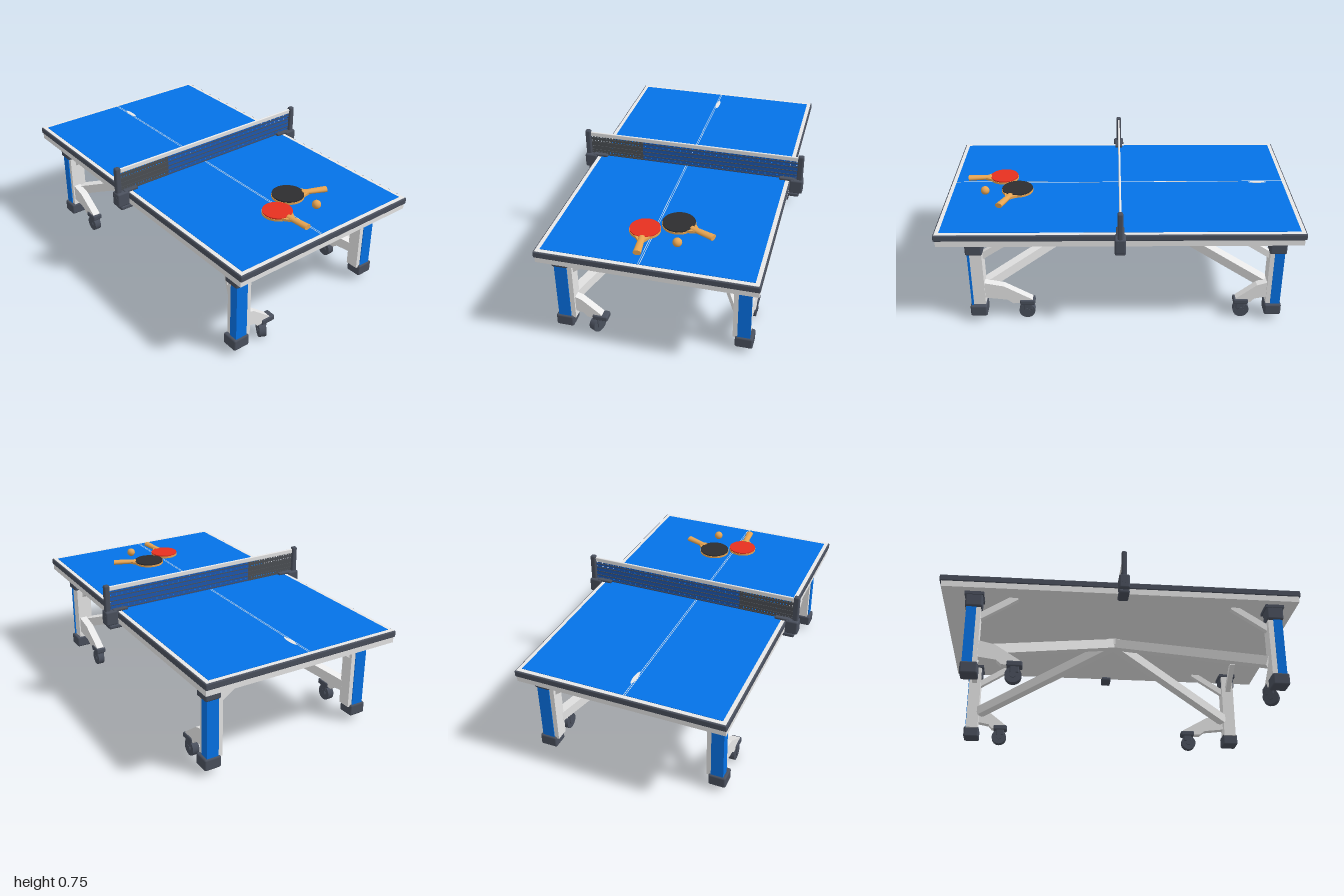
import * as THREE from 'three';
import { RoundedBoxGeometry } from 'three/addons/geometries/RoundedBoxGeometry.js';

const material = (name, color, side = THREE.FrontSide) => {
  const m = new THREE.MeshStandardMaterial({ color, side });
  m.name = name;
  return m;
};

export function createModel() {
  const root = new THREE.Group();
  root.name = 'tableTennisTable';
  const blue = material('playing blue', 0x0476ee);
  const white = material('off white', 0xeeeeee);
  const dark = material('slate grey', 0x4a505d);
  const navy = material('net blue', 0x1c58b2, THREE.DoubleSide);
  const cord = material('net grey', 0x4b4f54, THREE.DoubleSide);
  const red = material('rubber red', 0xe6301f);
  const black = material('rubber black', 0x2d2d2f);
  const wood = material('wood', 0xeeaa55);

  const add = (parent, name, geometry, mat, x = 0, y = 0, z = 0) => {
    const mesh = new THREE.Mesh(geometry, mat);
    mesh.name = name;
    mesh.position.set(x, y, z);
    parent.add(mesh);
    return mesh;
  };
  const box = (parent, name, mat, w, h, d, x, y, z) =>
    add(parent, name, new THREE.BoxGeometry(w, h, d), mat, x, y, z);
  const rounded = (parent, name, mat, w, h, d, x, y, z, r = 0.01) =>
    add(parent, name, new RoundedBoxGeometry(w, h, d, 2, r), mat, x, y, z);
  // Square bar between two points
  const bar = (parent, name, mat, a, b, w, h) => {
    const from = new THREE.Vector3(...a), to = new THREE.Vector3(...b);
    const mesh = box(parent, name, mat, w, h, from.distanceTo(to), 0, 0, 0);
    mesh.position.copy(from).lerp(to, 0.5);
    mesh.lookAt(to);
    return mesh;
  };

  // Table top: dark edge, white apron, painted surface and lines
  const top = new THREE.Group();
  top.name = 'tableTop';
  root.add(top);
  rounded(top, 'edgeBand', dark, 1.175, 0.036, 2, 0, 0.571, 0, 0.006);
  box(top, 'apron', white, 1.165, 0.037, 1.98, 0, 0.5375, 0);
  box(top, 'borderLines', white, 1.16, 0.004, 1.985, 0, 0.589, 0);
  box(top, 'playingSurface', blue, 1.115, 0.004, 1.94, 0, 0.591, 0);
  for (const x of [-0.038, -0.029]) box(top, 'centreLine', white, 0.003, 0.002, 1.94, x, 0.5925, 0);
  const worn = add(top, 'wornPatch', new THREE.CylinderGeometry(0.012, 0.012, 0.002, 16), white, -0.024, 0.593, -0.82);
  worn.scale.z = 4.5;

  // Net: two panels pierced by small holes, white tape, posts and clamps
  const net = new THREE.Group();
  net.name = 'net';
  root.add(net);
  const panel = (name, x0, x1, mat, step) => {
    const shape = new THREE.Shape();
    shape.moveTo(x0, 0.592).lineTo(x1, 0.592).lineTo(x1, 0.722).lineTo(x0, 0.722).closePath();
    for (let x = x0 + 0.012; x < x1 - 0.012; x += step) {
      for (const y of [0.61, 0.648, 0.686, 0.71]) {
        const hole = new THREE.Path();
        hole.moveTo(x, y).lineTo(x, y + 0.005).lineTo(x + 0.006, y + 0.005).lineTo(x + 0.006, y).closePath();
        shape.holes.push(hole);
      }
    }
    add(net, name, new THREE.ShapeGeometry(shape), mat);
  };
  panel('greyNetPanel', -0.63, -0.3, cord, 0.018);
  panel('blueNetPanel', -0.3, 0.63, navy, 0.036);
  // Fine strands over the panels
  for (let i = 0; i < 5; i++) box(net, 'netStrand', cord, 1.25, 0.004, 0.006, 0, 0.6 + i * 0.026, 0);
  rounded(net, 'netTape', white, 1.25, 0.028, 0.012, 0, 0.73, 0, 0.005);
  for (const s of [-1, 1]) {
    rounded(net, 'netPost', dark, 0.034, 0.24, 0.03, s * 0.638, 0.635, 0);
    rounded(net, 'clampBody', dark, 0.075, 0.085, 0.06, s * 0.622, 0.56, 0);
    rounded(net, 'clampUpperJaw', dark, 0.09, 0.016, 0.045, s * 0.565, 0.599, 0, 0.006);
    rounded(net, 'clampLowerJaw', dark, 0.1, 0.026, 0.06, s * 0.592, 0.507, 0);
    const knob = add(net, 'clampKnob', new THREE.CylinderGeometry(0.02, 0.02, 0.02, 16), dark, s * 0.65, 0.565, 0);
    knob.rotation.z = Math.PI / 2;
  }

  // Caster with its bracket arm; local +x runs from the leg to the wheel
  const makeCaster = (reach, axleTurn, mountShift) => {
    const g = new THREE.Group();
    g.name = 'casterArm';
    const shape = new THREE.Shape();
    const end = reach + 0.035;
    shape.moveTo(0, 0.245).lineTo(reach * 0.55, 0.215).lineTo(end, 0.125).lineTo(end, 0.1)
      .lineTo(reach * 0.72, 0.1).lineTo(reach * 0.6, 0.125).lineTo(0, 0.145).closePath();
    const geo = new THREE.ExtrudeGeometry(shape, { depth: 0.045, bevelEnabled: false });
    add(g, 'arm', geo, white, 0, 0, -0.0225);
    rounded(g, 'casterMount', dark, 0.085, 0.032, 0.06, reach + mountShift, 0.106, 0, 0.008);
    const wheel = new THREE.Group();
    wheel.name = 'caster';
    wheel.position.set(reach, 0.045, 0);
    wheel.rotation.y = axleTurn;
    rounded(wheel, 'fork', dark, 0.05, 0.05, 0.048, 0.006, 0.035, 0, 0.006);
    for (const [name, r, w] of [['wheel', 0.045, 0.038], ['hub', 0.018, 0.05]]) {
      const disc = add(wheel, name, new THREE.CylinderGeometry(r, r, w, 24), dark);
      disc.rotation.x = Math.PI / 2;
    }
    g.add(wheel);
    return g;
  };

  // Legs: white post, blue outer cover, caps, braces and long diagonals
  const legs = [
    { sx: -1, sz: 1, z: 0.86, cover: 0.05, turn: 0, reach: 0.17, axle: 1.1, shift: 0.025 },
    { sx: 1, sz: 1, z: 0.8, cover: 0.012, turn: Math.PI / 2, reach: 0.27, axle: 0, shift: 0.005 },
    { sx: 1, sz: -1, z: 0.865, cover: 0.054, turn: -Math.PI / 2, reach: 0.175, axle: 0, shift: 0.005 },
    { sx: -1, sz: -1, z: 0.812, cover: 0.054, turn: -Math.PI / 2, reach: 0.232, axle: 0, shift: 0.005 },
  ];
  for (const { sx, sz, z, cover, turn, reach, axle, shift } of legs) {
    const leg = new THREE.Group();
    leg.name = 'leg';
    root.add(leg);
    box(leg, 'post', white, 0.09, 0.42, 0.074, sx * 0.475, 0.3, sz * (z - 0.003));
    box(leg, 'blueCover', blue, 0.07, 0.38, cover, sx * 0.491, 0.27, sz * (z + 0.039 - cover / 2));
    rounded(leg, 'foot', dark, 0.098, 0.068, 0.094, sx * 0.492, 0.066, sz * z);
    rounded(leg, 'topCap', dark, 0.09, 0.085, 0.094, sx * 0.492, 0.475, sz * z);
    box(leg, 'topPlate', dark, 0.115, 0.02, 0.105, sx * 0.485, 0.511, sz * z);
    bar(leg, 'crossBrace', white, [sx * 0.44, 0.405, sz * z], [sx * 0.27, 0.525, sz * z], 0.032, 0.032);
    bar(leg, 'lengthBrace', white, [sx * 0.47, 0.395, sz * (z - 0.03)], [sx * 0.47, 0.525, sz * (z - 0.23)], 0.032, 0.036);
    bar(leg, 'longDiagonal', white, [sx * 0.455, 0.2, sz * (z - 0.04)], [0, 0.495, 0], 0.055, 0.055);
    const caster = makeCaster(reach, axle, shift);
    caster.position.set(sx * 0.49, 0, sz * z);
    caster.rotation.y = turn;
    leg.add(caster);
  }
  box(root, 'centreBlock', white, 0.07, 0.04, 0.07, 0, 0.502, 0);

  // Paddles: wooden blade, rubber face and tapered handle
  const makePaddle = (name, rubber, r, x, z, hx, hz) => {
    const g = new THREE.Group();
    g.name = name;
    g.position.set(x, 0.593, z);
    g.rotation.y = -Math.atan2(hz - z, hx - x);
    const length = Math.hypot(hx - x, hz - z);
    add(g, 'blade', new THREE.CylinderGeometry(r, r, 0.012, 40), wood, 0, 0.008, 0);
    add(g, 'rubberFace', new THREE.CylinderGeometry(r - 0.002, r - 0.002, 0.007, 40), rubber, 0, 0.0175, 0);
    const handleLength = length - r * 0.9;
    const handle = add(g, 'handle', new THREE.CylinderGeometry(0.022, 0.017, handleLength, 14), wood,
      length - handleLength / 2, 0.014, 0);
    handle.rotation.z = -Math.PI / 2;
    handle.scale.x = 0.7;
    const shape = new THREE.Shape();
    shape.moveTo(r * 0.8, -0.045).lineTo(r + 0.03, -0.014).lineTo(r + 0.03, 0.014).lineTo(r * 0.8, 0.045).closePath();
    const neck = add(g, 'neck', new THREE.ExtrudeGeometry(shape, { depth: 0.014, bevelEnabled: false }), wood, 0, 0.018, 0);
    neck.rotation.x = Math.PI / 2;
    root.add(g);
  };
  makePaddle('redPaddle', red, 0.084, -0.082, 0.688, -0.062, 0.9);
  makePaddle('blackPaddle', black, 0.091, 0.078, 0.595, 0.285, 0.682);
  add(root, 'ball', new THREE.SphereGeometry(0.025, 24, 16), wood, 0.117, 0.617, 0.778);

  return root;
}
